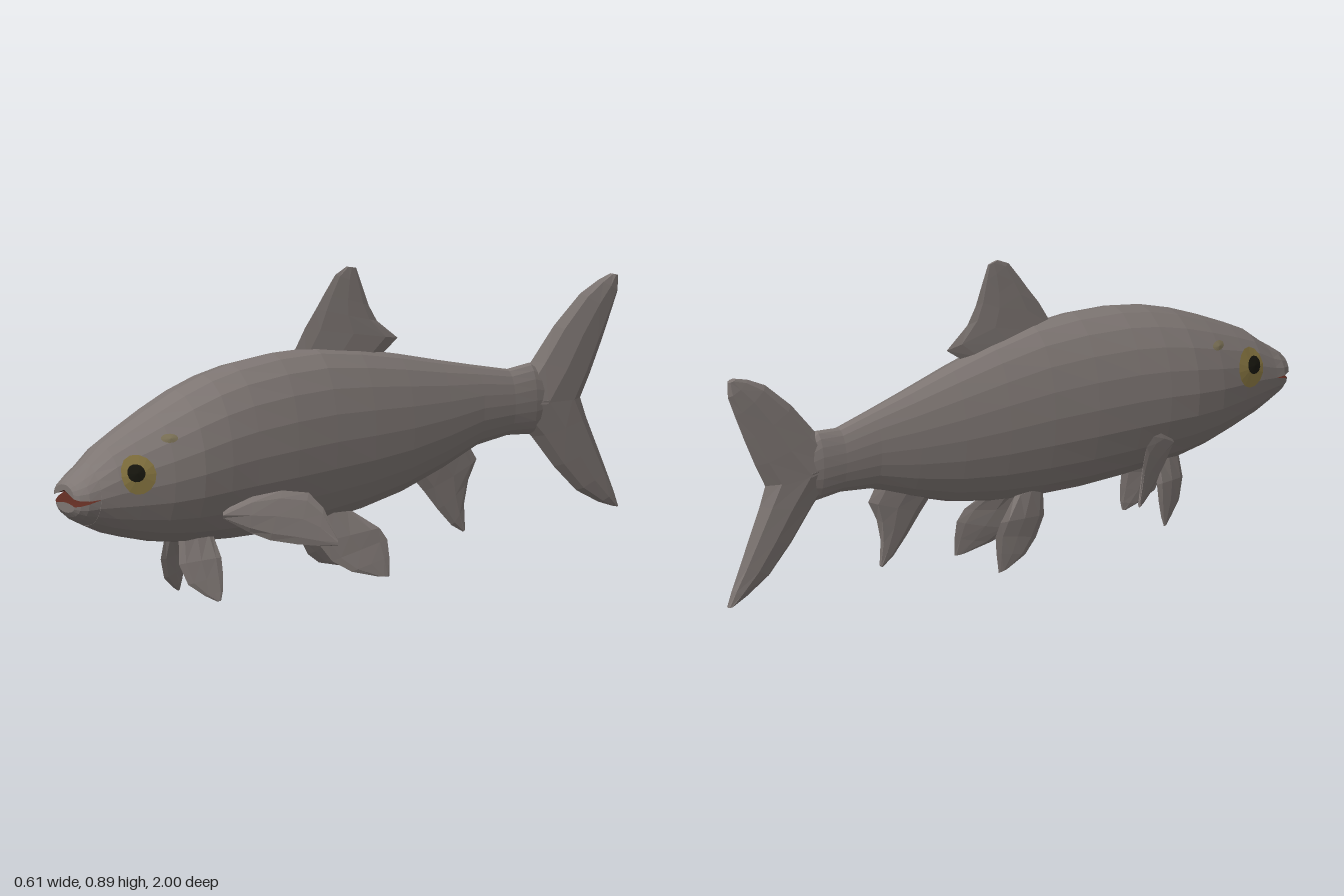
import * as THREE from 'three';

const flat = (name, color, side = THREE.FrontSide) =>
  Object.assign(new THREE.MeshStandardMaterial({ color, flatShading: true, side }), { name });

// Body stations: z, belly height, back height, half width
const STATIONS = [
  [0.93, 0.28, 0.46, 0.083], [0.87, 0.252, 0.508, 0.097], [0.8, 0.23, 0.543, 0.112],
  [0.7, 0.203, 0.588, 0.132], [0.6, 0.186, 0.628, 0.144], [0.5, 0.176, 0.658, 0.143],
  [0.4, 0.169, 0.676, 0.137], [0.25, 0.165, 0.686, 0.128], [0.1, 0.17, 0.681, 0.115],
  [-0.05, 0.186, 0.655, 0.101], [-0.2, 0.215, 0.62, 0.085], [-0.35, 0.262, 0.58, 0.067],
  [-0.48, 0.312, 0.547, 0.051], [-0.6, 0.326, 0.518, 0.041], [-0.68, 0.318, 0.525, 0.038],
  [-0.8, 0.36, 0.46, 0.02],
];

// Half width of the body surface at a height and station
function surfaceX(y, z) {
  let i = 0;
  while (i < STATIONS.length - 2 && STATIONS[i + 1][0] > z) i++;
  const a = STATIONS[i], b = STATIONS[i + 1], t = (a[0] - z) / (a[0] - b[0]);
  const [, lo, hi, w] = a.map((v, k) => v + (b[k] - v) * t);
  const d = (2 * y - hi - lo) / (hi - lo);
  return w * Math.sqrt(Math.max(0, 1 - d * d));
}

// Closed skin through rings of points; strips chosen by isLining use the second material
function loft(rings, isLining = () => false) {
  const n = rings[0].length, pos = rings.flat().flatMap((p) => [p.x, p.y, p.z]);
  const skin = [], lining = [];
  for (let i = 0; i < rings.length - 1; i++) {
    for (let j = 0; j < n; j++) {
      const a = i * n + j, b = i * n + (j + 1) % n;
      (isLining(j) ? lining : skin).push(a, b, a + n, b, b + n, a + n);
    }
  }
  [0, rings.length - 1].forEach((r, end) => {
    const c = rings[r].reduce((s, p) => s.add(p), new THREE.Vector3()).divideScalar(n);
    const centre = pos.length / 3;
    pos.push(c.x, c.y, c.z);
    for (let j = 0; j < n; j++) {
      const a = r * n + j, b = r * n + (j + 1) % n;
      skin.push(centre, ...(end ? [a, b] : [b, a]));
    }
  });
  const index = [...skin, ...lining];
  // Turn the faces outward when the enclosed volume comes out negative
  const at = (k) => new THREE.Vector3(pos[3 * k], pos[3 * k + 1], pos[3 * k + 2]);
  let volume = 0;
  for (let k = 0; k < index.length; k += 3) {
    volume += at(index[k]).dot(at(index[k + 1]).cross(at(index[k + 2])));
  }
  if (volume < 0) {
    for (let k = 0; k < index.length; k += 3) [index[k + 1], index[k + 2]] = [index[k + 2], index[k + 1]];
  }
  const g = new THREE.BufferGeometry();
  g.setAttribute('position', new THREE.Float32BufferAttribute(pos, 3));
  g.setIndex(index);
  g.addGroup(0, skin.length, 0);
  g.addGroup(skin.length, lining.length, 1);
  g.computeVertexNormals();
  return g;
}

// Lens-section fin between two edges of [x, y, z] points, thick along a normal
function finGeometry(lead, trail, thick, normal, side = 1) {
  const v = ([x, y, z]) => new THREE.Vector3(x * side, y, z);
  const n = v(normal).normalize();
  return loft(lead.map((p, i) => {
    const t = thick * (1 - 0.75 * i / (lead.length - 1));
    return Array.from({ length: 8 }, (_, k) => {
      const a = k / 8 * Math.PI * 2;
      return v(p).lerp(v(trail[i]), (1 - Math.cos(a)) / 2).addScaledVector(n, t * Math.sin(a));
    });
  }));
}

// Half-ellipse jaw; rows are z, outer height, corner height, lip centre height, half width
function jawGeometry(rows) {
  return loft(rows.map(([z, outer, corner, lip, w]) => {
    const ring = [];
    for (let k = 0; k <= 10; k++) {
      const a = k / 10 * Math.PI;
      ring.push(new THREE.Vector3(w * Math.cos(a), corner + (outer - corner) * Math.sin(a), z));
    }
    for (let k = 1; k < 6; k++) {
      const u = -1 + k / 3;
      ring.push(new THREE.Vector3(w * u, corner + (lip - corner) * (1 - u * u), z));
    }
    return ring;
  }), (j) => j >= 10);
}

// Round patch laid on the body surface
function patchGeometry(side, y, z, ry, rz, lift) {
  const g = new THREE.CircleGeometry(1, 14), p = g.attributes.position;
  for (let i = 0; i < p.count; i++) {
    const u = p.getX(i), v = p.getY(i), py = y + ry * v, pz = z - side * rz * u;
    const bulge = 0.004 * (1 - u * u - v * v);
    p.setXYZ(i, side * (surfaceX(py, pz) + lift + bulge), py, pz);
  }
  g.computeVertexNormals();
  return g;
}

export function createModel() {
  const fish = new THREE.Group();
  fish.name = 'fish';
  const skin = flat('grey skin', 0x7e7673);
  const gold = flat('gold iris', 0x857440, THREE.DoubleSide);
  const black = flat('black pupil', 0x17160e, THREE.DoubleSide);
  const red = flat('mouth red', 0x5c2a20);
  const olive = flat('olive spot', 0x7b7156, THREE.DoubleSide);
  const add = (name, geometry, material) => {
    const mesh = new THREE.Mesh(geometry, material);
    mesh.name = name;
    fish.add(mesh);
    return mesh;
  };

  // Body
  add('body', loft(STATIONS.map(([z, lo, hi, w]) => Array.from({ length: 20 }, (_, k) => {
    const a = k / 20 * Math.PI * 2;
    return new THREE.Vector3(w * Math.cos(a), (lo + hi) / 2 + (hi - lo) / 2 * Math.sin(a), z);
  }))), skin);

  // Jaws and mouth
  add('upperJaw', jawGeometry([
    [0.925, 0.464, 0.37, 0.376, 0.083], [0.965, 0.438, 0.368, 0.388, 0.074],
    [0.99, 0.42, 0.37, 0.396, 0.06], [1.0, 0.41, 0.374, 0.4, 0.045],
  ]), [skin, red]);
  add('lowerJaw', jawGeometry([
    [0.925, 0.278, 0.37, 0.366, 0.083], [0.965, 0.298, 0.359, 0.363, 0.072],
    [0.985, 0.314, 0.353, 0.36, 0.058], [0.995, 0.328, 0.35, 0.357, 0.042],
  ]), [skin, red]);
  const throat = add('mouthInside', new THREE.CircleGeometry(1, 16), black);
  throat.scale.set(0.07, 0.022, 1);
  throat.position.set(0, 0.374, 0.94);

  // Median fins, given as [z, y] edges
  const median = (name, lead, trail, thick) => {
    const lift = ([z, y]) => [0, y, z];
    add(name, finGeometry(lead.map(lift), trail.map(lift), thick, [1, 0, 0]), skin);
  };
  median('dorsalFin',
    [[0.18, 0.66], [0.13, 0.74], [0.09, 0.79], [0.06, 0.83], [0.02, 0.88], [-0.02, 0.898]],
    [[-0.14, 0.62], [-0.205, 0.665], [-0.13, 0.725], [-0.1, 0.775], [-0.075, 0.84], [-0.055, 0.89]], 0.014);
  median('analFin',
    [[-0.25, 0.26], [-0.3, 0.205], [-0.35, 0.145], [-0.4, 0.092], [-0.44, 0.068]],
    [[-0.46, 0.32], [-0.49, 0.272], [-0.46, 0.215], [-0.445, 0.15], [-0.447, 0.075]], 0.02);
  median('upperTailLobe',
    [[-0.58, 0.42], [-0.69, 0.53], [-0.77, 0.62], [-0.865, 0.7], [-0.93, 0.73], [-0.975, 0.742]],
    [[-0.86, 0.39], [-0.9, 0.465], [-0.94, 0.55], [-0.975, 0.63], [-1, 0.69], [-1, 0.735]], 0.038);
  median('lowerTailLobe',
    [[-0.58, 0.42], [-0.69, 0.308], [-0.77, 0.21], [-0.85, 0.13], [-0.93, 0.085], [-0.98, 0.066]],
    [[-0.86, 0.41], [-0.885, 0.34], [-0.92, 0.26], [-0.955, 0.18], [-0.985, 0.11], [-1, 0.063]], 0.038);

  for (const side of [1, -1]) {
    const word = side > 0 ? 'left' : 'right';

    // Pectoral fins sweep back and outward
    const sweep = ([x, y]) => [x, y, 0.5 - (x - 0.12) * 1.35];
    add(word + 'PectoralFin', finGeometry(
      [[0.11, 0.285], [0.16, 0.325], [0.21, 0.342], [0.255, 0.335], [0.28, 0.29], [0.304, 0.2]].map(sweep),
      [[0.11, 0.262], [0.155, 0.22], [0.19, 0.197], [0.235, 0.185], [0.27, 0.18], [0.304, 0.18]].map(sweep),
      0.016, [1.35, 0, 1], side), skin);

    // Two pairs of belly fins
    add(word + 'FrontBellyFin', finGeometry(
      [[0.03, 0.21, 0.61], [0.042, 0.13, 0.618], [0.055, 0.07, 0.595], [0.075, 0.035, 0.55], [0.09, 0.018, 0.52]],
      [[0.05, 0.21, 0.505], [0.08, 0.14, 0.495], [0.088, 0.09, 0.495], [0.093, 0.045, 0.5], [0.095, 0.018, 0.508]],
      0.012, [1, 0.35, 0.25], side), skin);
    add(word + 'RearBellyFin', finGeometry(
      [[0.03, 0.2, 0.12], [0.042, 0.12, 0.115], [0.055, 0.065, 0.075], [0.075, 0.03, 0.02], [0.094, 0.008, -0.06]],
      [[0.05, 0.2, 0], [0.082, 0.145, -0.075], [0.088, 0.11, -0.098], [0.095, 0.06, -0.1], [0.1, 0.005, -0.096]],
      0.012, [1, 0.35, 0.25], side), skin);

    // Eyes and the faint spot behind them
    add(word + 'Iris', patchGeometry(side, 0.43, 0.815, 0.056, 0.053, 0.005), gold);
    add(word + 'Pupil', patchGeometry(side, 0.437, 0.825, 0.025, 0.027, 0.01), black);
    add(word + 'Spot', patchGeometry(side, 0.52, 0.7, 0.012, 0.025, 0.003), olive);
  }
  return fish;
}
